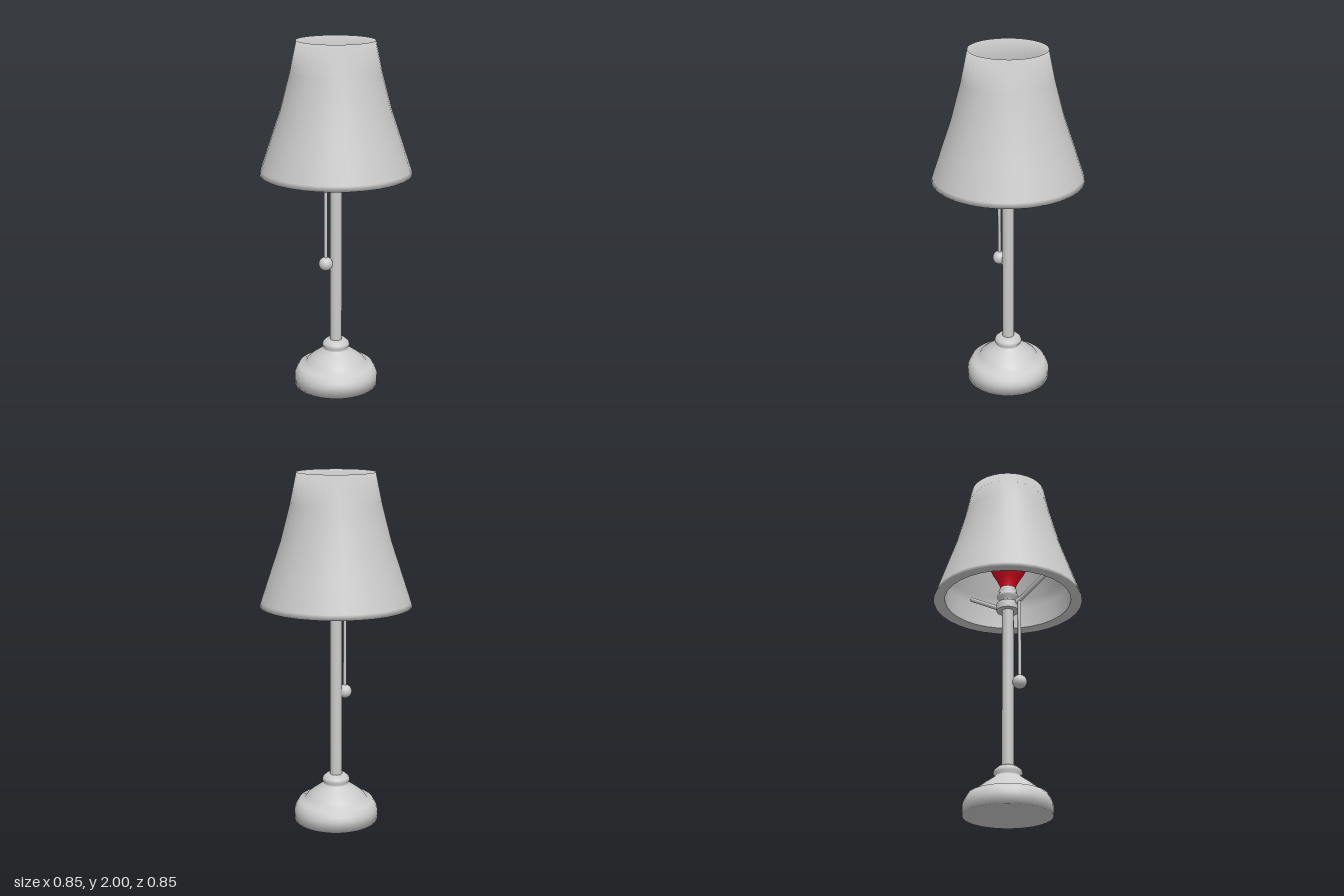
import * as THREE from 'three';

export function createModel() {
  const lamp = new THREE.Group();
  lamp.name = 'tableLamp';
  const grey = new THREE.MeshStandardMaterial({ color: 0xcccccc });
  const red = new THREE.MeshStandardMaterial({ color: 0xe50a22 });

  const add = (name, geometry, material = grey) => {
    const mesh = new THREE.Mesh(geometry, material);
    mesh.name = name;
    lamp.add(mesh);
    return mesh;
  };
  // Profile of [radius, height] pairs, listed from bottom to top on the outside
  const lathe = (name, profile, sides, material) =>
    add(name, new THREE.LatheGeometry(profile.map(([r, y]) => new THREE.Vector2(r, y)), sides), material);
  // Straight round bar between two points
  const rod = (name, from, to, radius, sides = 12) => {
    const a = new THREE.Vector3(...from), b = new THREE.Vector3(...to);
    const mesh = add(name, new THREE.CylinderGeometry(radius, radius, a.distanceTo(b), sides));
    mesh.position.copy(a).lerp(b, 0.5);
    mesh.quaternion.setFromUnitVectors(new THREE.Vector3(0, 1, 0), b.clone().sub(a).normalize());
  };

  // Stepped foot with a bell-shaped top and a small collar
  lathe('base', [
    [0, 0], [0.242, 0], [0.242, 0.06], [0.232, 0.085], [0.215, 0.115], [0.184, 0.115],
    [0.165, 0.145], [0.135, 0.17], [0.1, 0.195], [0.075, 0.213], [0.07, 0.222],
    [0.08, 0.235], [0.075, 0.252], [0.055, 0.27], [0, 0.27],
  ], 32);

  rod('pole', [0, 0.26, 0], [0, 1.22, 0], 0.034, 16);

  // Bulb holder: wide collar, then a ribbed neck
  lathe('socket', [
    [0, 1.205], [0.065, 1.205], [0.065, 1.205], [0.065, 1.25], [0.058, 1.256], [0.045, 1.258],
    [0.045, 1.27], [0.06, 1.288], [0.06, 1.302], [0.048, 1.316], [0.054, 1.33], [0.045, 1.35], [0, 1.35],
  ], 24);

  // Bulb, slightly squared in plan
  const bulb = lathe('bulb', [
    [0.04, 1.34], [0.044, 1.37], [0.06, 1.405], [0.083, 1.445], [0.1, 1.485],
    [0.104, 1.525], [0.097, 1.57], [0.07, 1.605], [0.035, 1.62], [0, 1.625],
  ], 16, red);
  const points = bulb.geometry.attributes.position;
  for (let i = 0; i < points.count; i++) {
    const x = points.getX(i), z = points.getZ(i);
    const swell = 1 + 0.11 * Math.sin(2 * Math.atan2(z, x)) ** 2;
    points.setXYZ(i, x * swell, points.getY(i), z * swell);
  }

  // Arms that carry the shade
  rod('rightShadeArm', [-0.04, 1.23, 0], [-0.318, 1.4, 0], 0.0135);
  rod('leftShadeArm', [0.04, 1.23, 0.009], [0.31, 1.4, 0.066], 0.0135);

  // Pull cord with its ball
  rod('pullCord', [-0.08, 0.76, 0], [-0.08, 1.25, 0], 0.01);
  add('pullBall', new THREE.SphereGeometry(0.04, 20, 14)).position.set(-0.08, 0.748, 0);

  // Flared shade: a closed shell, thick and rounded at the lower rim, meeting in a thin edge at the top
  lathe('shade', [
    [0.362, 1.272], [0.427, 1.264], [0.418, 1.292], [0.362, 1.46], [0.308, 1.62], [0.253, 1.83], [0.217, 2],
    [0.245, 1.83], [0.298, 1.62], [0.352, 1.46], [0.362, 1.4], [0.362, 1.272],
  ], 32);

  return lamp;
}
